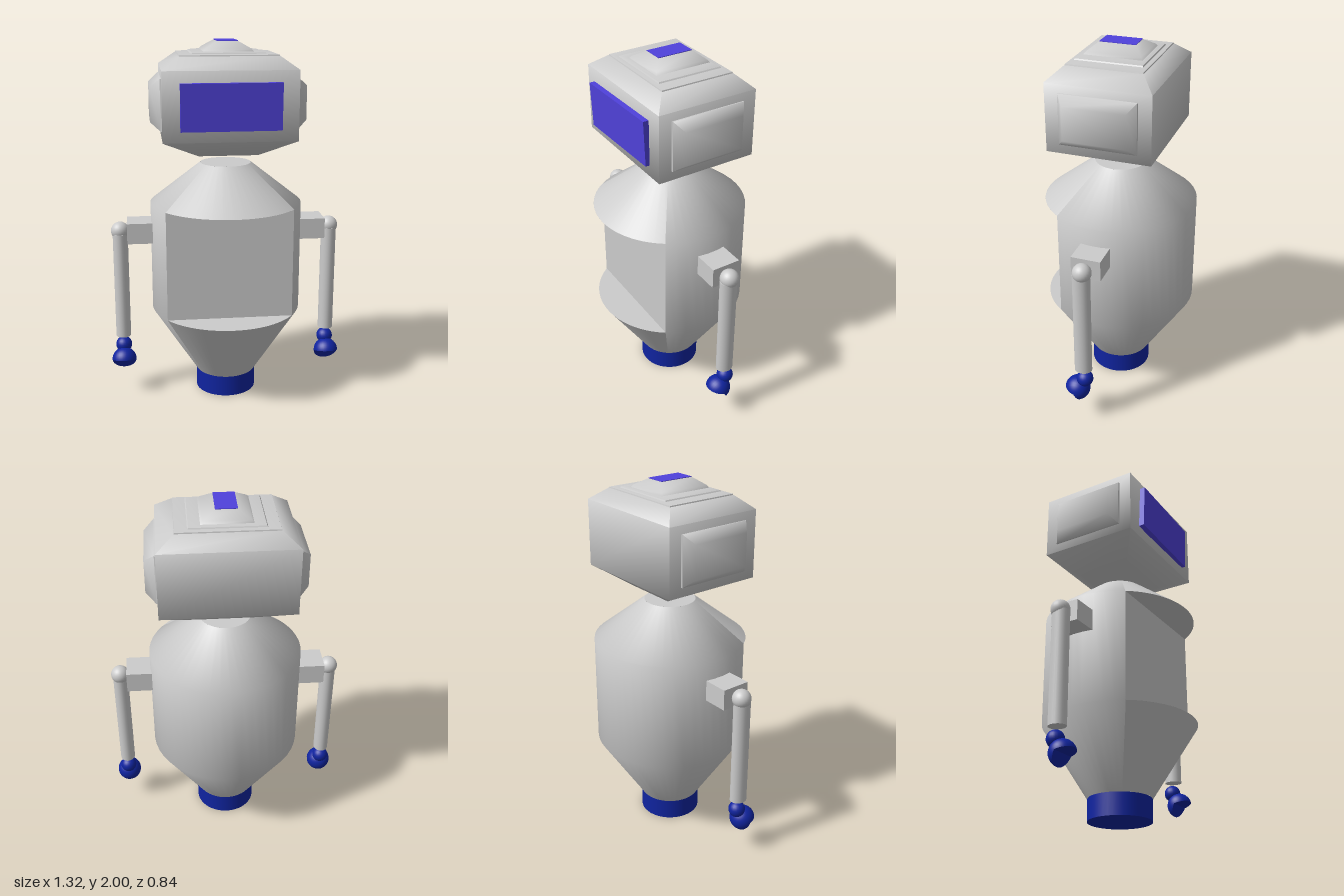
import * as THREE from 'three';
import { toCreasedNormals } from 'three/addons/utils/BufferGeometryUtils.js';

const paint = (color) => new THREE.MeshStandardMaterial({ color, side: THREE.DoubleSide });
const grey = paint(0xcccccc);
const blue = paint(0x1024a0);
const violet = paint(0x5042dc);
const rad = THREE.MathUtils.degToRad;

function add(parent, name, geometry, material, x = 0, y = 0, z = 0) {
  const mesh = new THREE.Mesh(geometry, material);
  mesh.name = name;
  mesh.position.set(x, y, z);
  parent.add(mesh);
  return mesh;
}

// Closed stack of rectangles, each ring given as [half width, half depth, y]
function rectLoft(rings, crease = 1.2) {
  const pos = [], idx = [];
  for (const [w, d, y] of rings) pos.push(-w, y, d, w, y, d, w, y, -d, -w, y, -d);
  for (let r = 0; r < rings.length - 1; r++) {
    for (let i = 0; i < 4; i++) {
      const a = r * 4 + i, b = r * 4 + (i + 1) % 4;
      idx.push(a, b, b + 4, a, b + 4, a + 4);
    }
  }
  const t = (rings.length - 1) * 4;
  idx.push(0, 2, 1, 0, 3, 2, t, t + 1, t + 2, t, t + 2, t + 3);
  const g = new THREE.BufferGeometry();
  g.setAttribute('position', new THREE.Float32BufferAttribute(pos, 3));
  g.setIndex(idx);
  return toCreasedNormals(g, crease);
}

// Smooth surface of revolution over part of a turn; angle 0 points to the front
function lathe(points, segments, start, length) {
  return new THREE.LatheGeometry(points.map(([r, y]) => new THREE.Vector2(r, y)), segments, start, length);
}

function makeBody() {
  const body = new THREE.Group();
  body.name = 'body';
  const R = 0.42, low = 0.51, high = 1.12, face = 0.24, foot = 0.118, top = 1.34;
  const open = Math.acos(face / R);
  add(body, 'base', new THREE.CylinderGeometry(0.17, 0.17, foot, 40), blue, 0, foot / 2, 0);

  // Shell around the sides and back, and the cones above and below the chest opening
  add(body, 'shell', lathe([[0.17, foot], [R, low], [R, high], [0.14, top]], 32, open, 2 * (Math.PI - open)), grey);
  add(body, 'lowerFront', lathe([[0.17, foot], [R, low]], 14, -open, 2 * open), grey);
  add(body, 'upperFront', lathe([[R, high], [0.14, top]], 14, -open, 2 * open), grey);
  add(body, 'neckCap', new THREE.CircleGeometry(0.14, 40).rotateX(-Math.PI / 2), grey, 0, top, 0);

  // Flat chest panel set back between two ledges
  add(body, 'chestPanel', new THREE.PlaneGeometry(2 * R * Math.sin(open), high - low), grey, 0, (low + high) / 2, face);
  const ledge = new THREE.Shape();
  ledge.absarc(0, 0, R, -Math.PI / 2 - open, -Math.PI / 2 + open, false);
  const ledgeGeometry = new THREE.ShapeGeometry(ledge, 14).rotateX(-Math.PI / 2);
  add(body, 'lowerLedge', ledgeGeometry, grey, 0, low, 0);
  // Mirrored in y so that it faces down
  add(body, 'upperLedge', ledgeGeometry, grey, 0, high, 0).scale.y = -1;
  return body;
}

function makeHead() {
  const head = new THREE.Group();
  head.name = 'head';
  add(head, 'skull', rectLoft([
    [0.16, 0.14, 1.4], [0.353, 0.278, 1.495], [0.353, 0.278, 1.86], [0.262, 0.205, 1.926],
  ]), grey);
  // Low stepped crown with a small lamp on top
  add(head, 'crownRim', rectLoft([[0.262, 0.205, 1.92], [0.258, 0.202, 1.932], [0.2, 0.183, 1.936]], 0.6), grey);
  add(head, 'crownStep', rectLoft([[0.2, 0.183, 1.93], [0.19, 0.176, 1.942], [0.137, 0.16, 1.947]], 0.6), grey);
  add(head, 'crown', rectLoft([[0.137, 0.16, 1.94], [0.12, 0.145, 1.96], [0.056, 0.098, 1.997]]), grey);
  add(head, 'topLamp', new THREE.BoxGeometry(0.112, 0.004, 0.194), violet, 0, 1.998, 0);

  // Visor, its front leaning out a little towards the top and one side
  const visor = new THREE.BoxGeometry(0.525, 0.245, 0.03);
  const p = visor.attributes.position;
  for (let i = 0; i < p.count; i++) {
    p.setZ(i, p.getZ(i) + 0.04 * p.getY(i) - 0.02 * p.getX(i));
  }
  visor.computeVertexNormals();
  add(head, 'visor', visor, violet, 0, 1.678, 0.295);

  // Side panels
  for (const s of [1, -1]) {
    const ear = add(head, s > 0 ? 'leftEar' : 'rightEar',
      rectLoft([[0.135, 0.21, 0], [0.135, 0.205, 0.012], [0.09, 0.165, 0.065]]), grey, s * 0.348, 1.68, 0);
    ear.rotation.z = -s * Math.PI / 2;
  }
  return head;
}

function makeArm(s) {
  const arm = new THREE.Group();
  arm.name = s > 0 ? 'leftArm' : 'rightArm';
  const x = s * 0.592;
  add(arm, 'shoulderStub', new THREE.BoxGeometry(0.15, 0.115, 0.162), grey, s * 0.478, 0.962, 0);
  add(arm, 'shoulderBall', new THREE.SphereGeometry(0.051, 24, 16), grey, x, 0.963, 0.005);
  add(arm, 'forearm', new THREE.CylinderGeometry(0.042, 0.042, 0.61, 24), grey, x, 0.645, 0.01).scale.z = 1.15;
  add(arm, 'wrist', new THREE.SphereGeometry(0.046, 20, 14), blue, x, 0.278, 0.003);

  // Hand: a ball with a wedge cut out of the lower front
  const hand = new THREE.Group();
  hand.name = 'hand';
  hand.position.set(x, 0.203, 0.046);
  const r = 0.069, start = rad(-154), end = rad(75);
  const shell = new THREE.SphereGeometry(r, 24, 16, start, end - start);
  shell.rotateZ(-Math.PI / 2);
  add(hand, 'palm', shell, blue);
  for (const angle of [start, end]) {
    add(hand, 'gripFace', new THREE.CircleGeometry(r, 20, 0, Math.PI).rotateX(angle), blue);
  }
  arm.add(hand);
  return arm;
}

export function createModel() {
  const model = new THREE.Group();
  model.name = 'robot';
  model.add(makeBody(), makeHead(), makeArm(1), makeArm(-1));
  model.position.x = -0.004;
  return model;
}
